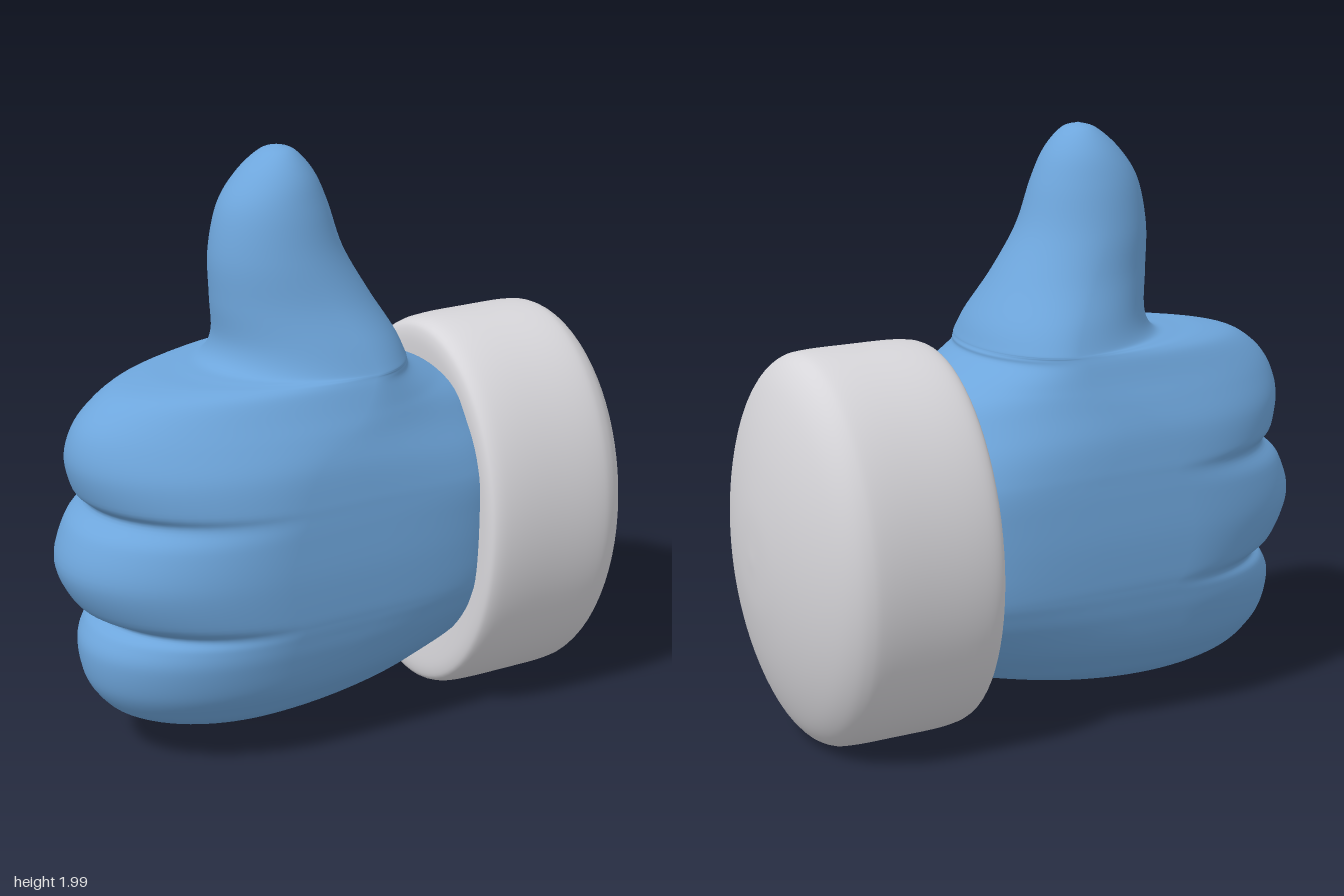
import * as THREE from 'three';
import { mergeVertices } from 'three/addons/utils/BufferGeometryUtils.js';

const blue = new THREE.MeshStandardMaterial({ color: 0x6ea6dc });
blue.name = 'gloveBlue';
const grey = new THREE.MeshStandardMaterial({ color: 0xd6d5d9 });
grey.name = 'cuffGrey';

// Horizontal sections of the glove: height, finger-side x, wrist-side x,
// half depth, and where along the section it is deepest (0 to 1)
const SECTIONS = [
  [0.07, -0.37, -0.37, 0, 0.5],
  [0.08, -0.53, -0.2, 0.1, 0.47],
  [0.105, -0.68, 0, 0.185, 0.45],
  [0.15, -0.8, 0.2, 0.265, 0.42],
  [0.2, -0.865, 0.36, 0.315, 0.4],
  [0.28, -0.915, 0.47, 0.37, 0.39],
  [0.39, -0.93, 0.5, 0.405, 0.38],
  [0.46, -0.9, 0.5, 0.42, 0.38],
  [0.5, -0.86, 0.5, 0.427, 0.38],
  [0.55, -0.94, 0.5, 0.433, 0.39],
  [0.68, -1, 0.5, 0.44, 0.4],
  [0.81, -0.96, 0.5, 0.438, 0.4],
  [0.88, -0.89, 0.5, 0.435, 0.4],
  [0.93, -0.93, 0.5, 0.432, 0.41],
  [1.03, -0.957, 0.5, 0.42, 0.46],
  [1.12, -0.94, 0.48, 0.395, 0.54],
  [1.19, -0.89, 0.34, 0.37, 0.65],
  [1.25, -0.8, 0.225, 0.35, 0.73],
  [1.276, -0.68, 0.21, 0.34, 0.72],
  [1.285, -0.55, 0.205, 0.337, 0.69],
  [1.3, -0.465, 0.2, 0.33, 0.66],
  [1.37, -0.425, 0.17, 0.3, 0.62],
  [1.5, -0.435, 0.09, 0.24, 0.57],
  [1.65, -0.44, 0.005, 0.2, 0.52],
  [1.8, -0.41, -0.045, 0.165, 0.5],
  [1.9, -0.345, -0.09, 0.125, 0.5],
  [1.97, -0.265, -0.15, 0.065, 0.5],
  [1.99, -0.205, -0.205, 0, 0.5],
];

// Merge seams and give smooth normals
function smooth(geometry) {
  geometry.deleteAttribute('uv');
  geometry.deleteAttribute('normal');
  const merged = mergeVertices(geometry, 1e-5);
  merged.computeVertexNormals();
  return merged;
}

// Fist and thumb as one skin of smoothly interpolated sections
function gloveGeometry() {
  const sides = 72, steps = 6, last = SECTIONS.length - 1, rows = last * steps;
  const spline = new THREE.CubicInterpolant(SECTIONS.map((_, i) => i), SECTIONS.flat(), 5);
  const positions = [], index = [];
  for (let r = 0; r <= rows; r++) {
    const [y, xl, xr, d, f] = spline.evaluate(r / steps);
    const xc = xl + (xr - xl) * f;
    // The wrist side is squarer through the middle of the palm
    const n = 2 + 3 * THREE.MathUtils.smoothstep(y, 0.2, 0.6)
      * (1 - THREE.MathUtils.smoothstep(y, 0.8, 1.15));
    for (let s = 0; s < sides; s++) {
      const a = s / sides * Math.PI * 2, c = Math.cos(a), q = Math.sin(a);
      const e = c > 0 ? 2 / n : 1;
      const x = c > 0 ? xc + (xr - xc) * c ** e : xc + (xc - xl) * c;
      positions.push(x, y, d * Math.sign(q) * Math.abs(q) ** e);
      if (r < rows) {
        const i = r * sides + s, j = r * sides + (s + 1) % sides;
        index.push(i, i + sides, j, j, i + sides, j + sides);
      }
    }
  }
  const g = new THREE.BufferGeometry();
  g.setAttribute('position', new THREE.Float32BufferAttribute(positions, 3));
  g.setIndex(index);
  return smooth(g);
}

// Rounded oval cuff: a turned profile laid along x, stretched and slightly sheared
function cuffGeometry() {
  const profile = new THREE.SplineCurve([
    [0.335, 0.6], [0.322, 0.8], [0.322, 0.92], [0.345, 0.975], [0.42, 0.997], [0.58, 1],
    [0.74, 0.998], [0.8, 0.975], [0.845, 0.915], [0.885, 0.815], [0.925, 0.66],
    [0.958, 0.47], [0.982, 0.24], [0.99, 0],
  ].map(([x, r]) => new THREE.Vector2(r, x)));
  const points = profile.getPoints(60);
  points.forEach(p => { p.x = Math.max(p.x, 0); });
  const g = new THREE.LatheGeometry(points, 72);
  g.rotateZ(-Math.PI / 2);
  g.scale(1, 0.66, 0.505);
  const p = g.attributes.position;
  for (let i = 0; i < p.count; i++) p.setX(i, p.getX(i) + 0.025 * p.getY(i));
  g.translate(0, 0.664, 0);
  return smooth(g);
}

export function createModel() {
  const group = new THREE.Group();
  group.name = 'thumbsUpGlove';
  const glove = new THREE.Mesh(gloveGeometry(), blue);
  glove.name = 'fistAndThumb';
  const cuff = new THREE.Mesh(cuffGeometry(), grey);
  cuff.name = 'cuff';
  group.add(glove, cuff);
  return group;
}
